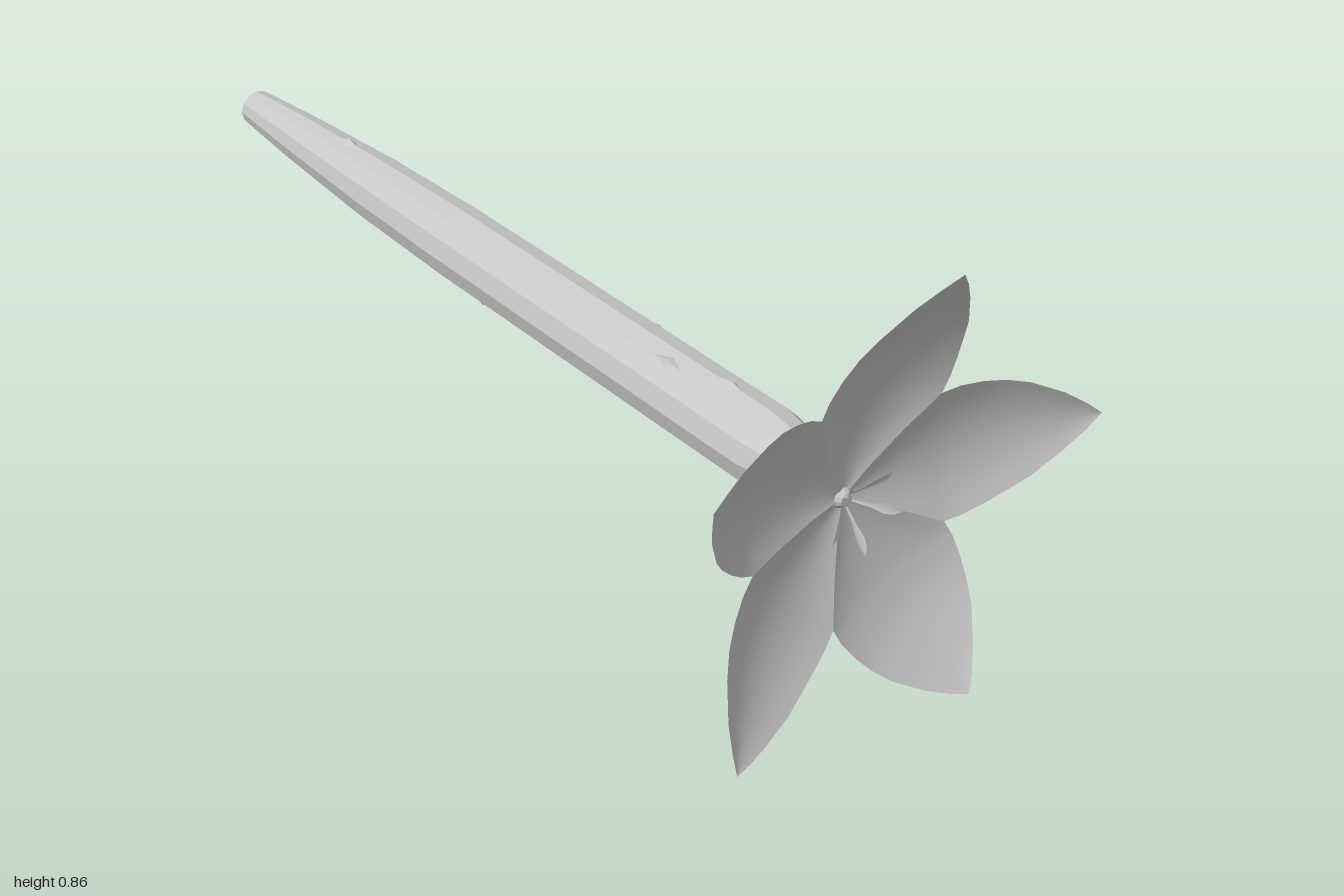
import * as THREE from 'three';

const CENTER_Y = 0.415, CENTER_Z = 0.02;

// Stem profile: [position along the stem, radius]
const STEM = [[-1, 0], [-1, 0.04], [-0.8, 0.054], [-0.5, 0.069], [-0.2, 0.075], [0.68, 0.075],
  [0.78, 0.058], [0.85, 0.027], [0.87, 0.012], [0.87, 0]];

// Petal cross-sections: [distance from centre, half width, forward offset]
const PETAL = [[0, 0, 0], [0.06, 0.0436, 0], [0.12, 0.0872, 0.005], [0.185, 0.1344, 0.015], [0.22, 0.135, 0.023],
  [0.26, 0.128, 0.035], [0.3, 0.116, 0.05], [0.34, 0.098, 0.07], [0.395, 0.06, 0.1], [0.43, 0.028, 0.123], [0.455, 0, 0.14]];

// Pointed blade grown along +x, cupped toward +z
function bladeGeometry(rows, columns, cup) {
  const geometry = new THREE.PlaneGeometry(1, 1, columns, rows.length - 1);
  const p = geometry.attributes.position;
  for (let i = 0; i < p.count; i++) {
    const [along, width, forward] = rows[Math.floor(i / (columns + 1))];
    const t = (i % (columns + 1)) / columns * 2 - 1;
    p.setXYZ(i, along, t * width, forward + cup * width * t * t);
  }
  geometry.computeVertexNormals();
  return geometry;
}

function stemRadius(x) {
  for (let i = 2; i < STEM.length; i++) {
    const [x0, r0] = STEM[i - 1], [x1, r1] = STEM[i];
    if (x <= x1) return r0 + (r1 - r0) * (x - x0) / (x1 - x0);
  }
  return 0;
}

export function createModel() {
  const model = new THREE.Group();
  model.name = 'flowerOnStem';
  const grey = new THREE.MeshStandardMaterial({ color: 0xc8c8c8, flatShading: true });
  grey.name = 'stem grey';
  const petalGrey = new THREE.MeshStandardMaterial({ color: 0xc8c8c8, side: THREE.DoubleSide });
  petalGrey.name = 'petal grey';

  // Faceted stem lying along x
  const stemGeometry = new THREE.LatheGeometry(STEM.map(([x, r]) => new THREE.Vector2(r, x)), 12);
  stemGeometry.rotateZ(-Math.PI / 2);
  const stem = new THREE.Mesh(stemGeometry, grey);
  stem.name = 'stem';
  stem.position.set(0, CENTER_Y, CENTER_Z);
  model.add(stem);

  // Low scales on the stem: position along it and angle from the top toward the front
  const scaleGeometry = new THREE.ConeGeometry(1, 1, 4);
  scaleGeometry.scale(0.1, 0.026, 0.035);
  const scales = [[-0.62, 0], [0.58, 0], [-0.11, 160], [-0.33, -85], [0.05, -95], [0.3, -65], [0.45, 25]];
  for (const [x, degrees] of scales) {
    const pivot = new THREE.Group();
    pivot.name = 'stemScale';
    pivot.position.set(x, CENTER_Y, CENTER_Z);
    pivot.rotation.x = THREE.MathUtils.degToRad(degrees);
    const scale = new THREE.Mesh(scaleGeometry, grey);
    scale.name = 'scale';
    scale.position.y = stemRadius(x) - 0.006;
    scale.rotation.z = Math.atan2(stemRadius(x + 0.05) - stemRadius(x - 0.05), 0.1);
    pivot.add(scale);
    model.add(pivot);
  }

  // Flower facing along +x
  const flower = new THREE.Group();
  flower.name = 'flower';
  flower.position.set(0.86, CENTER_Y, CENTER_Z);
  flower.rotation.y = Math.PI / 2;
  model.add(flower);

  const petalGeometry = bladeGeometry(PETAL, 10, 0.2);
  const stamenGeometry = bladeGeometry([[0.012, 0.002, 0.01], [0.035, 0.004, 0.03], [0.055, 0.009, 0.045],
    [0.068, 0.007, 0.055], [0.082, 0, 0.062]], 2, 0.3);
  for (let i = 0; i < 5; i++) {
    const petal = new THREE.Mesh(petalGeometry, petalGrey);
    petal.name = 'petal';
    petal.rotation.z = THREE.MathUtils.degToRad(8 + 72 * i);
    const stamen = new THREE.Mesh(stamenGeometry, petalGrey);
    stamen.name = 'stamen';
    stamen.rotation.z = THREE.MathUtils.degToRad(54 + 72 * i);
    flower.add(petal, stamen);
  }
  return model;
}
